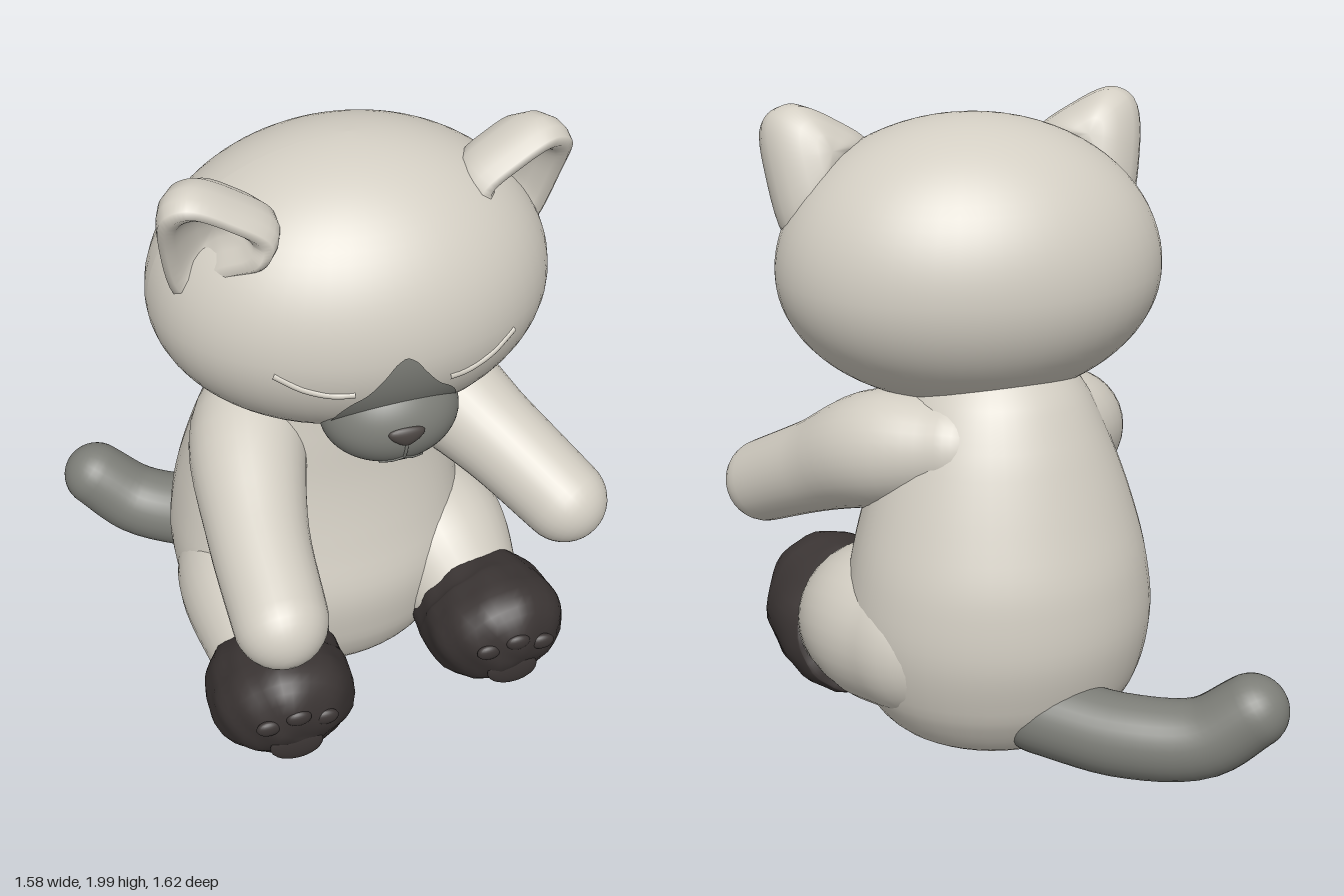
import * as THREE from 'three';
import { mergeVertices } from 'three/addons/utils/BufferGeometryUtils.js';

const V = (x, y, z) => new THREE.Vector3(x, y, z);
const mat = (name, color) => {
  const m = new THREE.MeshStandardMaterial({ color });
  m.name = name;
  return m;
};

// Smooth closed skin over rings of points (each ring clockwise along the run)
function loft(rings) {
  const n = rings[0].length, index = [];
  for (let i = 0; i < rings.length - 1; i++) {
    for (let j = 0; j < n; j++) {
      const k = (j + 1) % n;
      const a = i * n + j, b = i * n + k, c = a + n, d = b + n;
      index.push(a, c, b, b, c, d);
    }
  }
  const geo = new THREE.BufferGeometry().setFromPoints(rings.flat());
  geo.setIndex(index);
  const merged = mergeVertices(geo, 1e-5);
  merged.computeVertexNormals();
  return merged;
}

// Round limb through [x, y, z, radius] points with rounded ends
function limb(pts, startCap = 1, endCap = 1, sides = 32) {
  const path = new THREE.CatmullRomCurve3(pts.map(p => V(p[0], p[1], p[2])));
  const radii = new THREE.CatmullRomCurve3(pts.map((p, i) => V(p[3], i, 0)));
  const rings = [];
  const ring = (t, shift, scale) => {
    const dir = path.getTangent(t), r = radii.getPoint(t).x;
    const side = dir.clone().cross(V(0, 1, 0)).normalize();
    const up = side.clone().cross(dir);
    const c = path.getPoint(t).addScaledVector(dir, shift * r);
    rings.push(Array.from({ length: sides }, (_, j) => {
      const a = j / sides * Math.PI * 2;
      return c.clone().addScaledVector(side, Math.cos(a) * r * scale).addScaledVector(up, Math.sin(a) * r * scale);
    }));
  };
  const q = Math.PI / 2, steps = 9;
  for (let i = 0; i < steps; i++) ring(0, -startCap * Math.cos(i / steps * q), Math.sin(i / steps * q));
  for (let i = 0; i <= 16; i++) ring(i / 16, 0, 1);
  for (let i = 1; i <= steps; i++) ring(1, endCap * Math.sin(i / steps * q), Math.cos(i / steps * q));
  return loft(rings);
}

// Egg shapes: centre, radii (x, lower y, z) and upper y radius
const HEAD = { c: [0.025, 1.495, 0.088], r: [0.605, 0.415, 0.487], top: 0.475 };
const MUZZLE = { c: [0.052, 1.235, 0.42], r: [0.208, 0.155, 0.165], top: 0.165 };

// Front point of an egg at x, y
function onFront(e, x, y, lift = 0) {
  const u = (x - e.c[0]) / e.r[0], v = (y - e.c[1]) / (y > e.c[1] ? e.top : e.r[1]);
  return V(x, y, e.c[2] + e.r[2] * Math.sqrt(Math.max(0, 1 - u * u - v * v)) + lift);
}
function egg(e) {
  const geo = new THREE.SphereGeometry(1, 56, 40), pos = geo.attributes.position;
  for (let i = 0; i < pos.count; i++) {
    const y = pos.getY(i);
    pos.setXYZ(i, e.c[0] + pos.getX(i) * e.r[0], e.c[1] + y * (y > 0 ? e.top : e.r[1]), e.c[2] + pos.getZ(i) * e.r[2]);
  }
  geo.computeVertexNormals();
  return geo;
}
const line = (e, pts, r, lift) => new THREE.TubeGeometry(
  new THREE.CatmullRomCurve3(pts.map(p => onFront(e, p[0], p[1], lift))), 20, r, 8);

function bodyGeometry() {
  // height, half width, front z, back z
  const rows = [
    [0.005, 0, -0.1, -0.1], [0.01, 0.2, 0.1, -0.28], [0.06, 0.35, 0.23, -0.4], [0.2, 0.45, 0.3, -0.49],
    [0.4, 0.49, 0.325, -0.537], [0.6, 0.47, 0.285, -0.525], [0.8, 0.42, 0.25, -0.465],
    [1.0, 0.35, 0.235, -0.39], [1.15, 0.28, 0.22, -0.31], [1.25, 0.18, 0.14, -0.2], [1.26, 0, 0, 0]];
  const size = new THREE.CatmullRomCurve3(rows.map(r => V(r[1], r[0], 0)));
  const depth = new THREE.CatmullRomCurve3(rows.map(r => V(r[2], r[3], 0)));
  const rings = [];
  for (let i = 0; i <= 50; i++) {
    const s = size.getPoint(i / 50), d = depth.getPoint(i / 50);
    rings.push(Array.from({ length: 48 }, (_, j) => {
      const a = j / 48 * Math.PI * 2, sin = Math.sin(a);
      const round = sin > 0 ? Math.pow(sin, 0.85) : sin; // fuller belly
      return V(-0.025 + s.x * Math.cos(a), Math.max(0, s.y), (d.x + d.y) / 2 + (d.x - d.y) / 2 * round);
    }));
  }
  return loft(rings);
}

// Cupped, rounded triangular ear with a thick rim
function earGeometry(left) {
  let pts = [[0.575, 1.6, 0.1], [0.635, 1.8, 0.15], [0.635, 1.95, 0.22], [0.57, 1.985, 0.25],
    [0.44, 1.93, 0.27], [0.33, 1.845, 0.28], [0.35, 1.78, 0.28], [0.46, 1.7, 0.19]].map(p => V(...p));
  const front = V(0.34, -0.32, 0.89);
  if (!left) {
    pts = pts.map(p => V(0.07 - p.x, p.y, p.z + 0.1)).reverse();
    front.x *= -1;
  }
  const outline = new THREE.CatmullRomCurve3(pts, true).getPoints(48).slice(0, 48);
  const mid = pts.reduce((s, p) => s.add(p), V(0, 0, 0)).divideScalar(pts.length);
  // scale and depth of each ring, from the hollow front round to the back
  const profile = [[0, -0.05], [0.3, -0.045], [0.5, -0.015], [0.64, 0.025], [0.8, 0.045], [0.94, 0.035],
    [1, 0], [1, -0.04], [0.89, -0.09], [0.6, -0.135], [0.3, -0.155], [0, -0.16]];
  return loft(profile.map(([s, d]) =>
    outline.map(p => mid.clone().lerp(p, s).addScaledVector(front, d))));
}

// Nose bridge patch: plane wrapped on the head, narrowing to a rounded peak
function bridgeGeometry() {
  const width = new THREE.SplineCurve([[0, 0.195], [0.25, 0.18], [0.43, 0.15], [0.57, 0.107], [0.78, 0.062], [0.93, 0.032], [1, 0.006]]
    .map(p => new THREE.Vector2(...p)));
  const geo = new THREE.PlaneGeometry(2, 1, 16, 24), pos = geo.attributes.position;
  for (let i = 0; i < pos.count; i++) {
    const w = width.getPoint(pos.getY(i) + 0.5);
    const p = onFront(HEAD, 0.05 + pos.getX(i) * w.y, 1.24 + 0.275 * w.x, 0.005);
    pos.setXYZ(i, p.x, p.y, p.z);
  }
  geo.computeVertexNormals();
  return geo;
}

// Plush foot: leans forward at the top, with gentle lumps
function footGeometry(pts) {
  const geo = limb(pts, 0.1, 0.86, 40);
  const pos = geo.attributes.position, nor = geo.attributes.normal;
  for (let i = 0; i < pos.count; i++) {
    const x = pos.getX(i), y = pos.getY(i), z = pos.getZ(i);
    const d = 0.006 * Math.sin(x * 37 + y * 11) * Math.sin(y * 33 + z * 17);
    pos.setXYZ(i, x + nor.getX(i) * d, Math.max(0.005, y + nor.getY(i) * d), z + nor.getZ(i) * d + 0.32 * (y - 0.24));
  }
  geo.computeVertexNormals();
  return geo;
}

export function createModel() {
  const model = new THREE.Group();
  model.name = 'plushCat';
  const fur = mat('cream fur', 0xd3cec3);
  const grey = mat('grey fur', 0x7d7e78);
  const dark = mat('dark feet', 0x3b3534);
  const noseMat = mat('nose brown', 0x4a4441);
  const add = (name, geo, material) => {
    const mesh = new THREE.Mesh(geo, material);
    mesh.name = name;
    model.add(mesh);
  };

  add('body', bodyGeometry(), fur);
  add('head', egg(HEAD), fur);
  add('leftEar', earGeometry(true), fur);
  add('rightEar', earGeometry(false), fur);

  // Face
  add('muzzle', egg(MUZZLE), grey);
  add('noseBridge', bridgeGeometry(), grey);
  const nose = new THREE.SphereGeometry(1, 24, 16), np = nose.attributes.position;
  for (let i = 0; i < np.count; i++) np.setX(i, np.getX(i) * (1 + 0.5 * np.getY(i)));
  nose.scale(0.05, 0.032, 0.018).translate(0.055, 1.243, 0.578);
  nose.computeVertexNormals();
  add('nose', nose, noseMat);
  add('mouthCentre', line(MUZZLE, [[0.055, 1.22], [0.055, 1.19], [0.055, 1.155]], 0.005, 0), grey);
  for (const s of [1, -1]) {
    const side = s > 0 ? 'left' : 'right';
    add(side + 'Mouth', line(MUZZLE, [[0.055, 1.157], [0.055 + s * 0.03, 1.14], [0.055 + s * 0.065, 1.13]], 0.005, 0), grey);
    const lid = [[0.14, 1.4], [0.2, 1.4], [0.28, 1.423], [0.36, 1.468]].map(([x, y]) => [0.05 + s * x, y]);
    add(side + 'Eyelid', line(HEAD, lid, 0.011, -0.004), fur);
  }

  // Arms, the right one reaching forward and the left one outward
  add('leftArm', limb([[0.15, 1.0, -0.18, 0.15], [0.33, 0.965, -0.04, 0.185], [0.5, 0.845, 0.17, 0.152], [0.652, 0.72, 0.39, 0.138]]), fur);
  add('rightArm', limb([[-0.17, 1.0, -0.14, 0.15], [-0.29, 0.95, 0.08, 0.185], [-0.345, 0.825, 0.4, 0.155], [-0.35, 0.715, 0.67, 0.143]]), fur);

  // Legs, the right one closer in and further forward
  for (const left of [true, false]) {
    const side = left ? 'left' : 'right';
    const place = (pts) => pts.map(([x, y, z, r]) => left ? [x, y, z, r] : [0.025 - 0.76 * x, y, z + 0.12, r]);
    add(side + 'Thigh', limb(left
      ? [[0.24, 0.37, -0.15, 0.26], [0.34, 0.35, 0.03, 0.262], [0.41, 0.25, 0.23, 0.19]]
      : [[-0.22, 0.36, -0.1, 0.26], [-0.28, 0.34, 0.08, 0.255], [-0.3, 0.25, 0.34, 0.19]]), fur);
    add(side + 'Foot', footGeometry(place([[0.405, 0.245, 0.2, 0.2], [0.43, 0.238, 0.29, 0.224], [0.443, 0.244, 0.395, 0.228]])), dark);
    // soft sole pads
    const [[x, , z]] = place([[0.443, 0, 0.395, 0]]);
    for (const [dx, y, rx] of [[0, 0.2, 0.085], [-0.09, 0.31, 0.04], [0, 0.345, 0.04], [0.09, 0.31, 0.04]]) {
      const k = 1 - (dx * dx + (y - 0.244) ** 2) / 0.052;
      add(side + 'FootPad', new THREE.SphereGeometry(1, 20, 14).scale(rx, rx * 0.7, 0.018)
        .translate(x + dx, y, z + 0.19 * Math.sqrt(k) + 0.32 * (y - 0.24)), dark);
    }
  }

  add('tail', limb([[-0.1, 0.17, -0.38, 0.13], [-0.32, 0.145, -0.53, 0.13], [-0.54, 0.17, -0.64, 0.125], [-0.675, 0.275, -0.695, 0.115]]), grey);
  return model;
}
